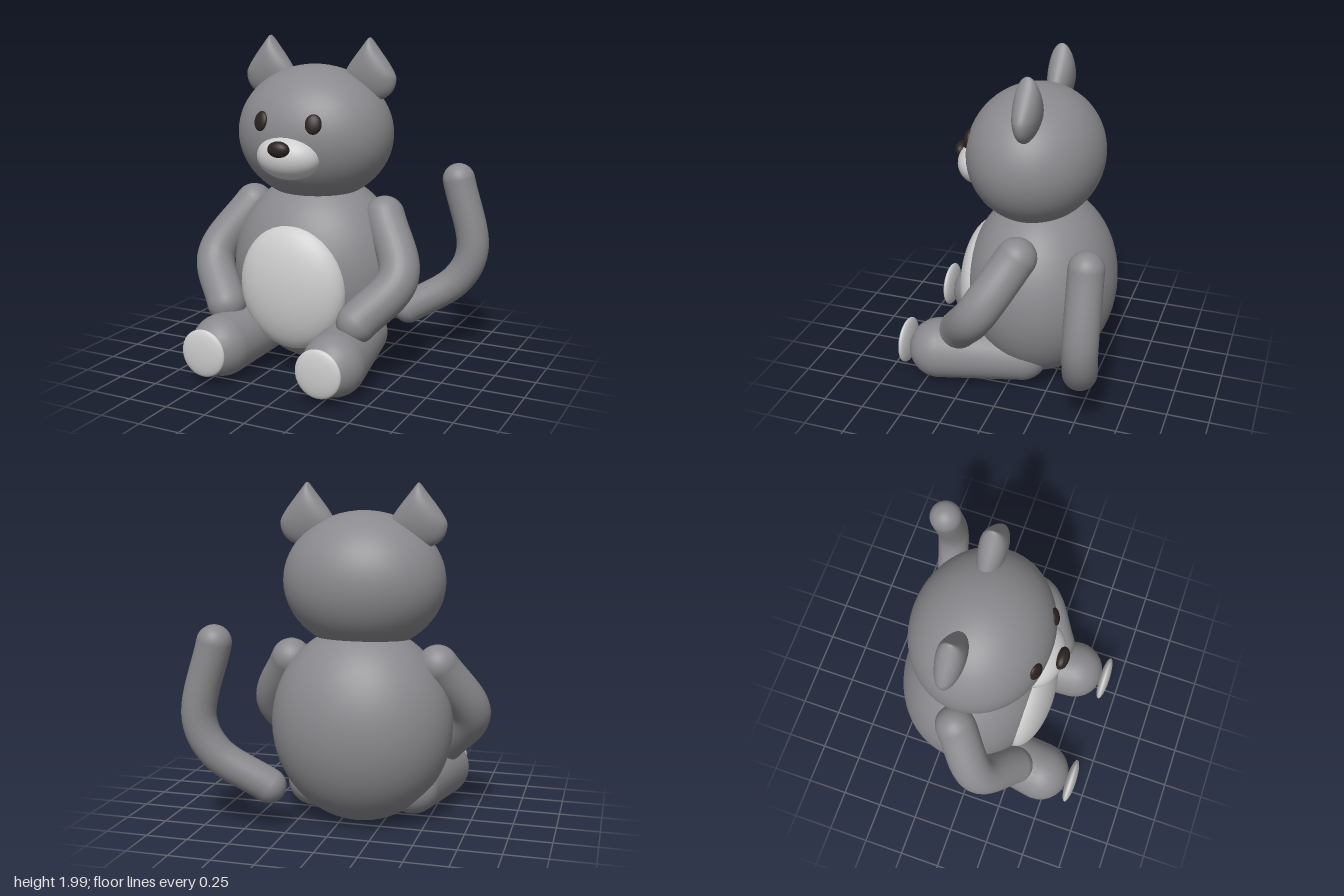
import * as THREE from 'three';

const fur = new THREE.MeshStandardMaterial({ color: 0x8a8a8e });
const pale = new THREE.MeshStandardMaterial({ color: 0xcccccc });
const dark = new THREE.MeshStandardMaterial({ color: 0x2a2220 });
const CX = -0.105; // the animal's own middle; the tail sticks out to its left

export function createModel() {
  const model = new THREE.Group();
  model.name = 'sittingToyAnimal';
  const body = new THREE.Group(); // everything symmetric, built around x = 0
  body.name = 'figure';
  body.position.x = CX;
  model.add(body);

  const add = (parent, name, geometry, material) => {
    const mesh = new THREE.Mesh(geometry, material);
    mesh.name = name;
    parent.add(mesh);
    return mesh;
  };

  // Ellipsoid from centre and three radii
  const ellipsoid = (name, material, centre, radii, detail = 48) => {
    const mesh = add(body, name, new THREE.SphereGeometry(1, detail, detail / 2), material);
    mesh.position.set(...centre);
    mesh.scale.set(...radii);
    return mesh;
  };

  // Round-ended limb along a smooth path, radius running from r0 to r1
  const limb = (parent, name, points, r0, r1 = r0) => {
    const group = new THREE.Group();
    group.name = name;
    parent.add(group);
    const path = new THREE.CatmullRomCurve3(points.map((p) => new THREE.Vector3(...p)));
    const steps = 32, sides = 28;
    const tube = new THREE.TubeGeometry(path, steps, r0, sides);
    const pos = tube.attributes.position, v = new THREE.Vector3();
    for (let i = 0; i < pos.count; i++) {
      const t = Math.floor(i / (sides + 1)) / steps;
      const c = path.getPointAt(t);
      v.fromBufferAttribute(pos, i).sub(c).multiplyScalar(1 + t * (r1 / r0 - 1)).add(c);
      pos.setXYZ(i, v.x, v.y, v.z);
    }
    add(group, name + 'Tube', tube, fur);
    [[0, r0], [1, r1]].forEach(([t, r]) => {
      add(group, name + 'End', new THREE.SphereGeometry(r, sides, 16), fur).position.copy(path.getPointAt(t));
    });
  };

  // Torso, belly patch and head
  ellipsoid('torso', fur, [0, 0.595, -0.115], [0.54, 0.585, 0.458], 64);
  ellipsoid('bellyPatch', pale, [0, 0.55, 0.235], [0.342, 0.38, 0.152]);
  ellipsoid('head', fur, [0, 1.433, -0.068], [0.479, 0.407, 0.407], 64);

  // Face
  ellipsoid('muzzle', pale, [0, 1.335, 0.265], [0.2, 0.135, 0.148]);
  ellipsoid('nose', dark, [0, 1.393, 0.4], [0.068, 0.047, 0.04], 32);

  // Ear: flat ellipsoid narrowed to a point at the top
  const earGeometry = new THREE.SphereGeometry(1, 40, 40);
  const ep = earGeometry.attributes.position;
  for (let i = 0; i < ep.count; i++) {
    const s = ep.getY(i) + 0.2;
    ep.setX(i, ep.getX(i) * (1 - (s > 0 ? 0.67 : 0.3) * s));
  }
  earGeometry.computeVertexNormals();

  for (const side of [1, -1]) {
    const label = side > 0 ? 'left' : 'right';

    const ear = add(body, label + 'Ear', earGeometry, fur);
    ear.position.set(side * 0.328, 1.815, -0.117);
    ear.scale.set(0.168, 0.185, 0.078);

    // Eye lies flat on the head's surface
    const eye = ellipsoid(label + 'Eye', dark, [side * 0.168, 1.533, 0.298], [0.048, 0.058, 0.022], 32);
    eye.quaternion.setFromUnitVectors(
      new THREE.Vector3(0, 0, 1), new THREE.Vector3(side * 0.73, 0.6, 2.23).normalize());

    limb(body, label + 'Arm', [
      [side * 0.445, 0.958, -0.09], [side * 0.613, 0.645, 0.1], [side * 0.435, 0.403, 0.278],
    ], 0.12);

    limb(body, label + 'Leg', [
      [side * 0.305, 0.215, -0.08], [side * 0.37, 0.196, 0.44],
    ], 0.16, 0.186);

    ellipsoid(label + 'FootPad', pale, [side * 0.37, 0.21, 0.65], [0.141, 0.143, 0.033]);
  }

  // Tail, curving out and up behind the left side
  limb(model, 'tail', [
    [0.35, 0.28, -0.48], [0.64, 0.48, -0.56], [0.73, 0.68, -0.58], [0.63, 1.12, -0.575],
  ], 0.1);

  return model;
}
